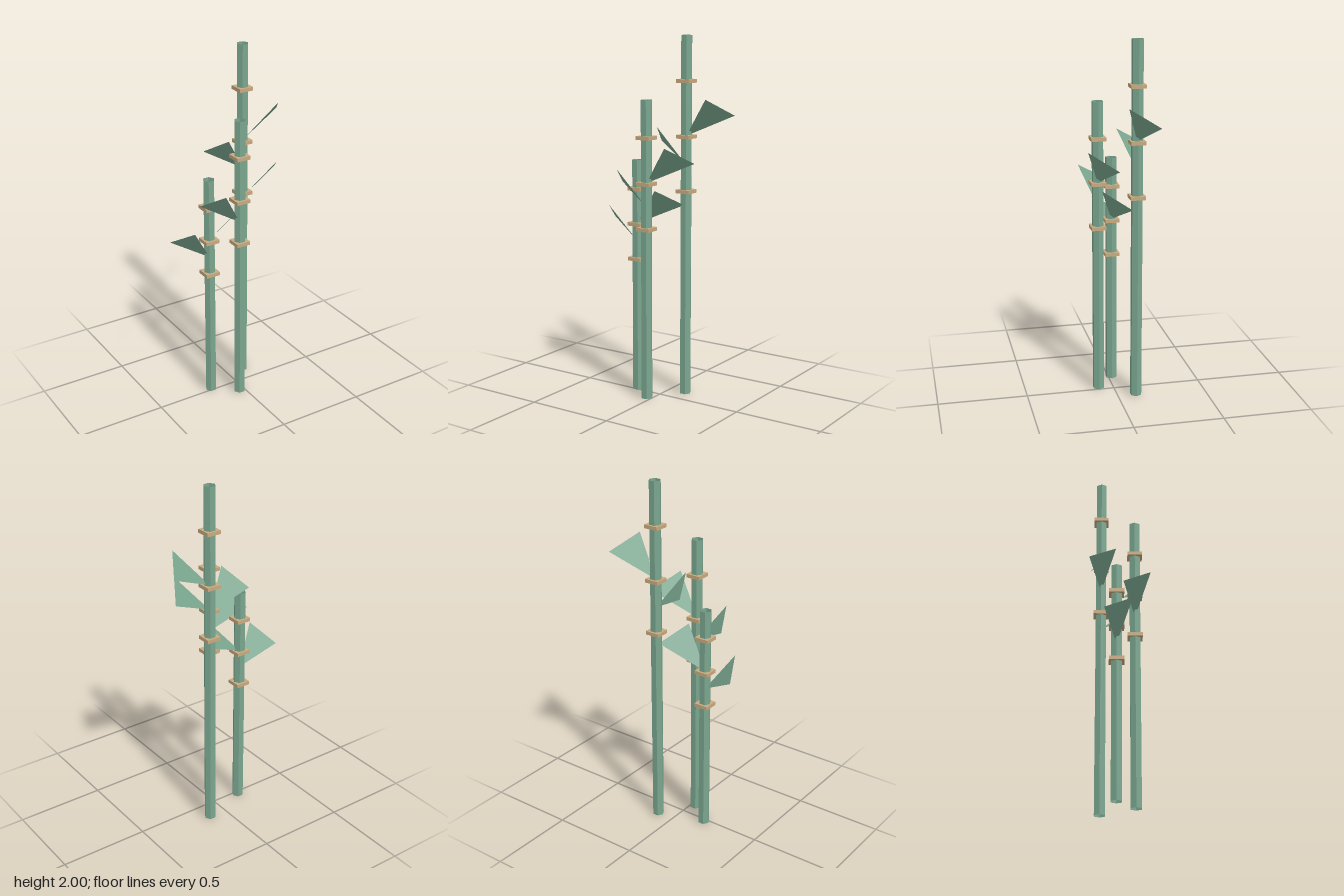
import * as THREE from 'three';

export function createModel() {
  const group = new THREE.Group();
  group.name = 'bambooCluster';

  const green = new THREE.MeshStandardMaterial({ color: 0x7aa68f, side: THREE.DoubleSide, flatShading: true });
  green.name = 'bamboo green';
  const tan = new THREE.MeshStandardMaterial({ color: 0xc8aa7f });
  tan.name = 'node tan';

  // Flat triangular leaf growing from the stalk axis to two tips
  function leaf(name, y, lowTip, highTip) {
    const geo = new THREE.BufferGeometry().setFromPoints([
      new THREE.Vector3(0, 0, 0),
      new THREE.Vector3(...highTip),
      new THREE.Vector3(...lowTip),
    ]);
    if (lowTip[0] < 0) geo.setIndex([0, 2, 1]);
    else geo.setIndex([0, 1, 2]);
    geo.computeVertexNormals();
    const mesh = new THREE.Mesh(geo, green);
    mesh.name = name;
    mesh.position.y = y;
    return mesh;
  }

  function bamboo(name, x, z, height) {
    const plant = new THREE.Group();
    plant.name = name;
    plant.position.set(x, 0, z);

    // Hollow six-sided stalk, open at both ends
    const stalk = new THREE.Mesh(
      new THREE.CylinderGeometry(0.033, 0.033, height, 6, 1, true, Math.PI / 6), green);
    stalk.name = 'stalk';
    stalk.position.y = height / 2;
    plant.add(stalk);

    // Square node plates
    for (const t of [0.578, 0.728, 0.878]) {
      const node = new THREE.Mesh(new THREE.BoxGeometry(0.082, 0.02, 0.082), tan);
      node.name = 'node';
      node.position.y = height * t;
      plant.add(node);
    }

    // One leaf to each side, the right-hand one lower and shorter
    plant.add(leaf('leftLeaf', height * 0.73, [0.264, 0.117, -0.066], [0.172, 0.207, 0.084]));
    plant.add(leaf('rightLeaf', height * 0.65, [-0.207, 0.116, -0.066], [-0.136, 0.207, 0.084]));
    group.add(plant);
  }

  bamboo('tallBamboo', 0.103, -0.104, 2.0);
  bamboo('middleBamboo', -0.03, 0.084, 1.66);
  bamboo('shortBamboo', -0.161, -0.018, 1.32);

  return group;
}
